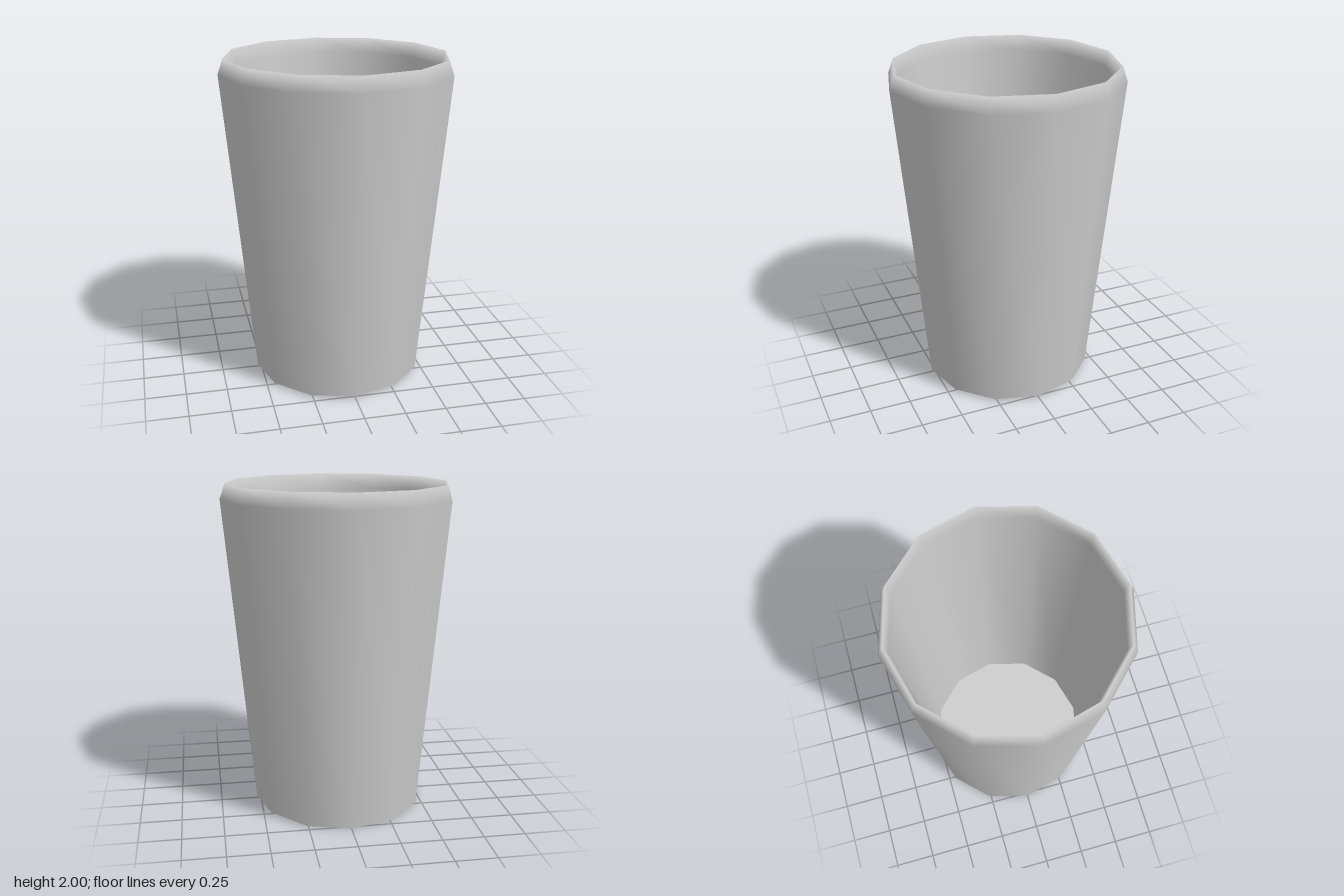
import * as THREE from 'three';

const SIDES = 12;

// The underside dips slightly towards the back.
function dipBase(geometry) {
  const p = geometry.attributes.position;
  for (let i = 0; i < p.count; i++) {
    if (p.getY(i) < 0.03) p.setY(i, 0.015 - 0.015 * Math.max(0, (-p.getZ(i) - 0.26) / 0.265));
  }
  return geometry;
}

export function createModel() {
  const group = new THREE.Group();
  group.name = 'cup';
  const grey = new THREE.MeshStandardMaterial({ color: 0xcccccc });
  grey.name = 'light grey';

  const add = (name, geometry) => {
    const mesh = new THREE.Mesh(geometry, grey);
    mesh.name = name;
    group.add(mesh);
  };
  const disc = (radius, y, facing) =>
    new THREE.CircleGeometry(radius, SIDES).rotateX(-facing * Math.PI / 2).translate(0, y, 0);

  // Outer wall, bevelled rim and inner wall in one smooth profile
  const profile = [
    [0.525, 0.015], [0.7, 1.91], [0.668, 2], [0.645, 1.91], [0.5, 0.05],
  ].map(([r, y]) => new THREE.Vector2(r, y));
  add('wall', dipBase(new THREE.LatheGeometry(profile, SIDES)));

  // Inside floor and underside
  add('floor', disc(0.5, 0.05, 1));
  add('base', dipBase(disc(0.525, 0.015, -1)));

  return group;
}
